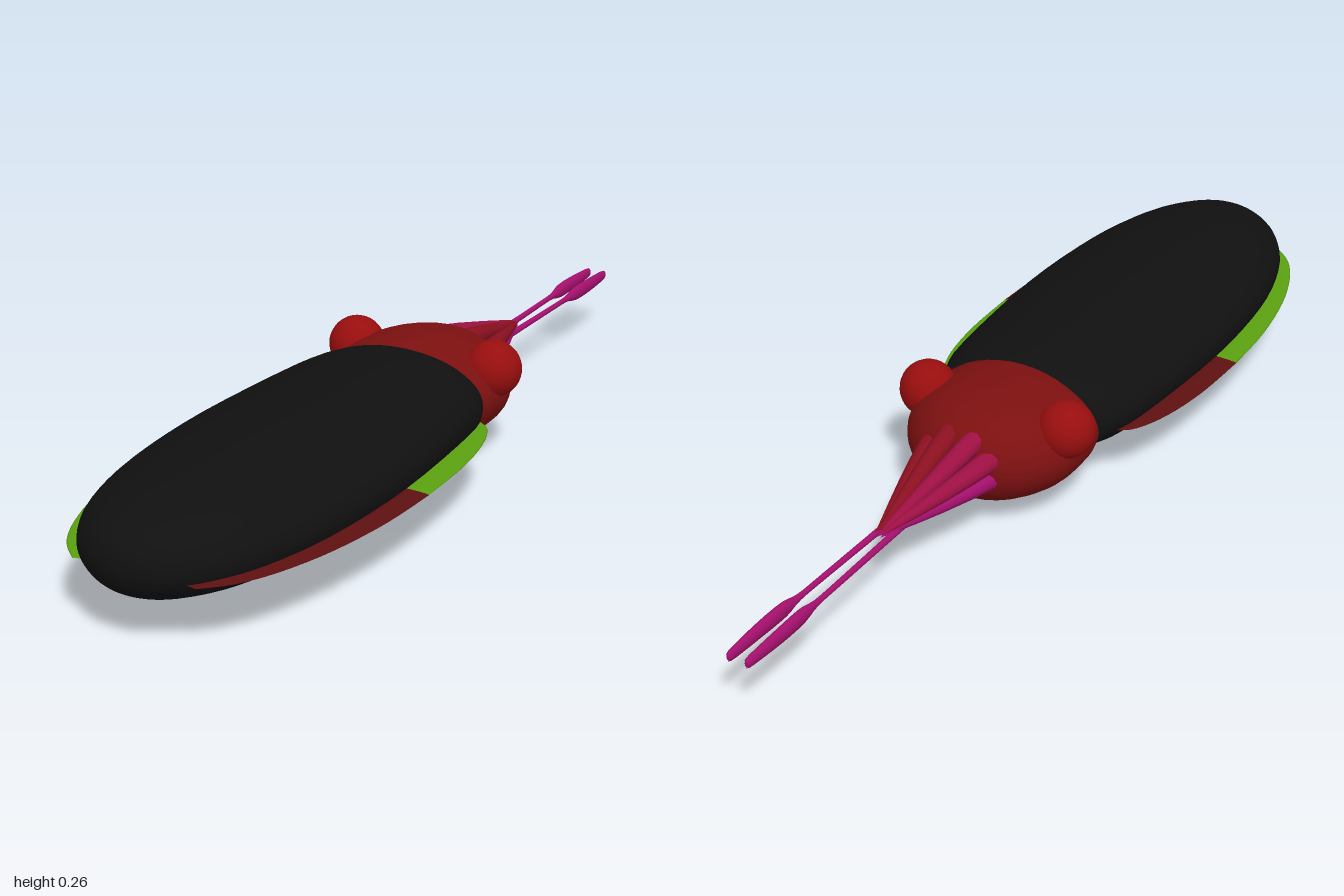
import * as THREE from 'three';

const paint = (name, color, side = THREE.FrontSide) => {
  const m = new THREE.MeshStandardMaterial({ color, side });
  m.name = name;
  return m;
};

// Smooth skin through elliptical rings [z, cx, cy, rx, ry], listed with z rising.
function loft(rings, segs = 32, steps = 4) {
  const pos = [], idx = [];
  const curve = [0, 1, 2, 3, 4].map(k => rings.map(r => r[k]));
  const n = (rings.length - 1) * steps;
  const at = (list, t) => {
    const i = Math.min(Math.floor(t), list.length - 2), f = t - i;
    const p = list[Math.max(i - 1, 0)], a = list[i], b = list[i + 1], c = list[Math.min(i + 2, list.length - 1)];
    return a + 0.5 * f * (b - p + f * (2 * p - 5 * a + 4 * b - c + f * (3 * (a - b) + c - p)));
  };
  for (let i = 0; i <= n; i++) {
    const [z, cx, cy, rx, ry] = curve.map(l => at(l, i / steps));
    for (let j = 0; j < segs; j++) {
      const a = (j / segs) * Math.PI * 2;
      pos.push(cx + Math.max(rx, 0) * Math.cos(a), cy + Math.max(ry, 0) * Math.sin(a), z);
      if (i === n) continue;
      const k = i * segs + j, l = i * segs + (j + 1) % segs;
      idx.push(k, l, k + segs, l, l + segs, k + segs);
    }
  }
  const g = new THREE.BufferGeometry();
  g.setAttribute('position', new THREE.Float32BufferAttribute(pos, 3));
  g.setIndex(idx);
  g.computeVertexNormals();
  return g;
}

export function createModel() {
  const model = new THREE.Group();
  model.name = 'cuttlefish';
  const black = paint('mantleBlack', 0x101010, THREE.DoubleSide);
  const headRed = paint('headRed', 0x7c1010);
  const eyeRed = paint('eyeRed', 0x980e0e);
  const green = paint('finGreen', 0x5aa010);
  const finRed = paint('finRed', 0x5e1010);
  const siphonRed = paint('siphonRed', 0x7e1512, THREE.DoubleSide);
  const armRed = paint('armRed', 0x8c1020);
  const crimson = paint('armCrimson', 0x9e1044);
  const magenta = paint('armMagenta', 0xa6106e);

  const add = (name, geometry, material, parent = model) => {
    const mesh = new THREE.Mesh(geometry, material);
    mesh.name = name;
    parent.add(mesh);
    return mesh;
  };

  // Mantle: long flattened shell with an open collar around the head
  const cy = 0.156;
  add('mantle', loft([
    [-0.025, 0, cy, 0.175, 0.086], [0, 0, cy, 0.2, 0.094], [0.1, 0, cy, 0.226, 0.1],
    [0.4, 0, cy, 0.246, 0.105], [0.65, 0, cy, 0.232, 0.103], [0.82, 0, cy, 0.193, 0.094],
    [0.92, 0, cy, 0.142, 0.077], [0.97, 0, cy, 0.092, 0.056], [0.993, 0, cy, 0.045, 0.03],
    [1, 0, cy, 0, 0]], 48), black);

  // Head: blunt ellipsoid
  add('head', loft([
    [-0.283, 0, 0.14, 0, 0], [-0.278, 0, 0.14, 0.05, 0.034], [-0.262, 0, 0.14, 0.1, 0.067],
    [-0.225, 0, 0.14, 0.146, 0.094], [-0.16, 0, 0.14, 0.182, 0.11], [-0.09, 0, 0.141, 0.191, 0.113],
    [-0.02, 0, 0.144, 0.184, 0.105], [0.05, 0, 0.15, 0.14, 0.08], [0.08, 0, 0.15, 0, 0]], 40), headRed);

  // Eyes
  for (const s of [1, -1]) {
    add(s > 0 ? 'leftEye' : 'rightEye', new THREE.SphereGeometry(0.06, 28, 20), eyeRed)
      .position.set(s * 0.163, 0.197, -0.117);
  }

  // Fins: thin side blades in two colours, swapped from side to side
  const blade = list => loft(list.map(([z, x]) => [z, x - 0.07, 0.1345, 0.07, 0.0038]), 24);
  const headHalf = blade([[0.02, 0.2], [0.05, 0.235], [0.13, 0.265], [0.25, 0.284], [0.4, 0.29]]);
  const tailHalf = blade([[0.4, 0.29], [0.55, 0.283], [0.7, 0.259], [0.82, 0.222], [0.9, 0.18], [0.95, 0.13]]);
  for (const s of [1, -1]) {
    const fin = new THREE.Group();
    fin.name = s > 0 ? 'leftFin' : 'rightFin';
    fin.scale.x = s;
    add('finHeadHalf', headHalf, s > 0 ? green : finRed, fin);
    add('finTailHalf', tailHalf, s > 0 ? finRed : green, fin);
    model.add(fin);
  }

  // Siphon: sloping open tube under the neck, with an inner wall
  add('siphon', loft([[-0.065, 0, 0.028, 0.037, 0.028], [0.1, 0, 0.042, 0.032, 0.023]], 24), siphonRed);
  add('siphonInside', loft([[-0.065, 0, 0.028, 0.027, 0.018], [0.1, 0, 0.04, 0.023, 0.016]], 24), siphonRed);

  // Eight tapering arms drawn together to a point
  const armColors = [armRed, armRed, crimson, crimson, magenta, magenta, magenta, magenta];
  armColors.forEach((material, i) => {
    const a = (i + 0.5) * Math.PI / 4, c = Math.cos(a), s = Math.sin(a);
    add('arm' + (i + 1), loft([
      [-0.55, 0.009 * c, 0.137 + 0.006 * s, 0, 0],
      [-0.51, 0.014 * c, 0.138 + 0.01 * s, 0.008, 0.008],
      [-0.4, 0.042 * c, 0.141 + 0.029 * s, 0.016, 0.016],
      [-0.26, 0.073 * c, 0.146 + 0.053 * s, 0.024, 0.022],
      [-0.22, 0.073 * c, 0.146 + 0.053 * s, 0.022, 0.02]], 10, 2), material);
  });

  // Two long feeding tentacles with flattened clubs
  for (const s of [1, -1]) {
    const t = [[-1, 0.02, 0.004, 0.008], [-0.985, 0.02, 0.007, 0.012], [-0.9, 0.021, 0.01, 0.016],
      [-0.83, 0.02, 0.01, 0.016], [-0.785, 0.019, 0.006, 0.007], [-0.7, 0.018, 0.006, 0.006],
      [-0.5, 0.015, 0.007, 0.007], [-0.25, 0.012, 0.008, 0.008]];
    const side = s > 0 ? 'left' : 'right';
    add(side + 'Tentacle', loft(t.map(([z, x, rx, ry]) => [z, s * x, 0.128, rx, ry]), 12, 3), magenta);
    add(side + 'TentacleTip', new THREE.SphereGeometry(1, 12, 8), magenta).scale.set(0.004, 0.008, 0.002);
    model.children.at(-1).position.set(s * 0.02, 0.128, -0.998);
  }
  return model;
}
